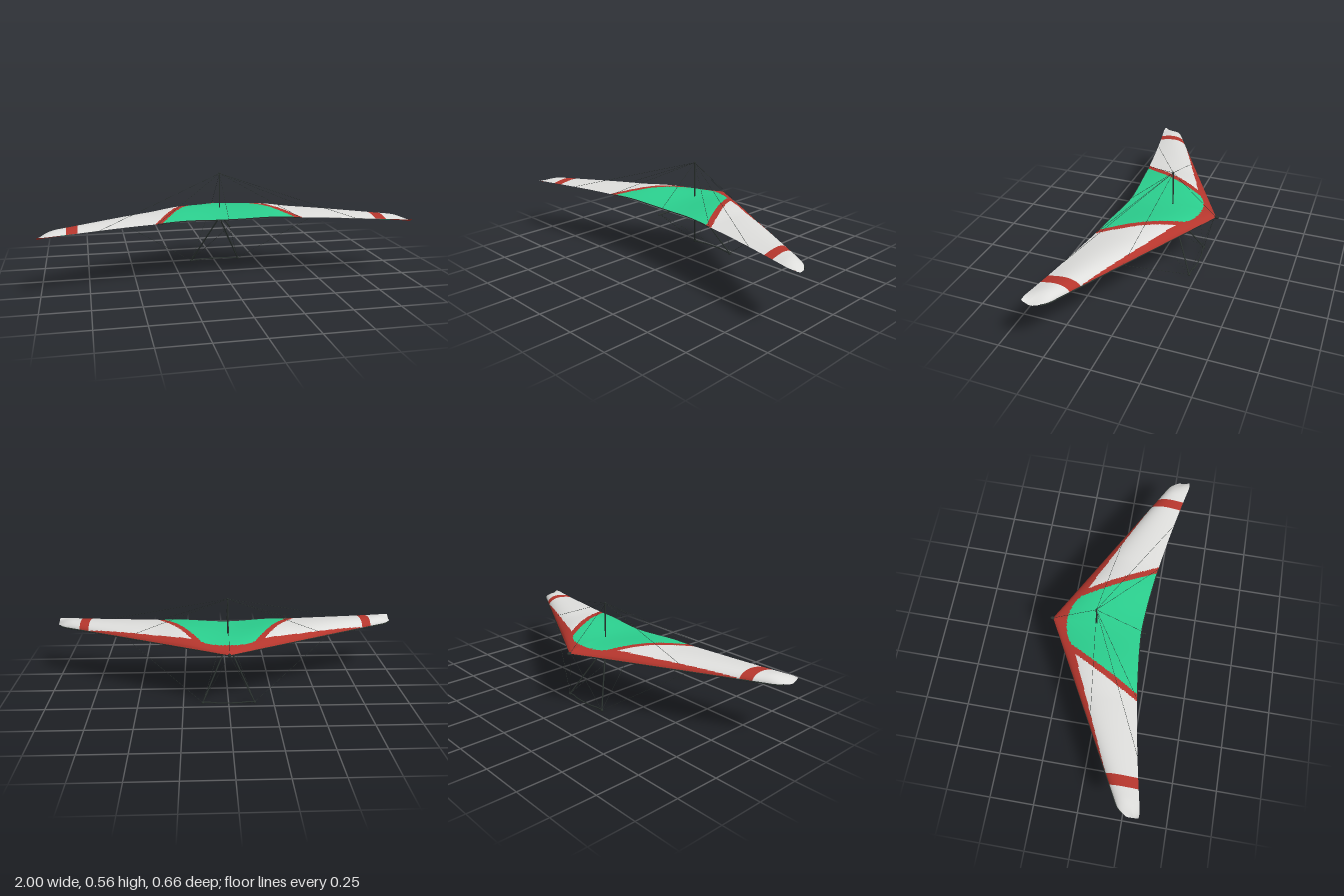
import * as THREE from 'three';

const { lerp, smoothstep } = THREE.MathUtils;
const mat = (name, color) => Object.assign(new THREE.MeshStandardMaterial({ color }), { name });
const white = mat('white sail', 0xdededc);
const red = mat('red trim', 0xb5362d);
const green = mat('green panel', 0x2bcf8e);
const dark = mat('dark frame', 0x29302d);
const WHITE = 0, RED = 1, GREEN = 2;

// Sail outline and section, as functions of span x and chord fraction t
const lead = (x) => -0.315 + 0.55 * x + 14 * Math.max(0, x - 0.95) ** 2;
const trail = (x) => 0.19 + 0.15 * x ** 1.5 - 4 * Math.max(0, x - 0.95) ** 2;
const leadY = (x) => 0.328 - 0.011 * x;
const camber = (x) => 0.035 + 0.018 * smoothstep(x, 0, 0.27)
  - 0.008 * smoothstep(x, 0.26, 0.42) - 0.015 * smoothstep(x, 0.42, 1.05);
const crown = (x, t) => leadY(x) + camber(x) * Math.sin(0.8 * Math.PI * t ** 0.6);

// The lower cloth stops short of the trailing edge in the middle of the wing
const clothEnd = (x) => 0.8 + 0.9 * x * x;
const bottomY = (x, t) => {
  const belly = 0.003 + 0.025 * Math.max(0, 1 - x / 0.45);
  const y = leadY(x) - belly * Math.sin(Math.PI * Math.min(1, t / 0.62))
    + (crown(x, 1) - leadY(x)) * t ** 3;
  const end = clothEnd(x);
  return lerp(y, crown(x, t) - 0.0015, smoothstep(t, end - 0.12, end));
};
// The upper cloth curls down onto the lower one at the tips
const topY = (x, t) => lerp(crown(x, t), bottomY(x, t), (Math.max(0, x - 0.9) / 0.1) ** 2);

// Colour layout of the upper cloth
function topColour(a, z) {
  const edge = 0.14 + (z + 0.19) * 0.54;
  if (a < edge && z > -0.232 + 2.4 * a * a) return GREEN;
  if (a < edge + 0.036) return RED;
  if (z < lead(a) + 0.075 * (1 - a / 0.8)) return RED;
  return a > 0.802 && a < 0.858 ? RED : WHITE;
}

// Colour layout of the lower cloth, with two slanted bands under each wing
function bottomColour(a, z, t) {
  if (a > 0.88) return RED;
  if (t > clothEnd(a) - 0.04) return topColour(a, z);
  const inner = Math.abs(a - (0.41 + 0.88 * z)) < 0.033 && t > 0.1 && t < 0.9;
  const outer = Math.abs(a - (0.59 + 0.9 * z)) < 0.021 && t > 0.12 && t < 0.97;
  return inner || outer ? GREEN : WHITE;
}

// One sail surface: a smooth grid whose cells are grouped by colour
function sail(name, height, colour, up) {
  const NX = 320, NT = 72, pos = [], buckets = [[], [], []];
  const zAt = (a, t) => lerp(lead(a), trail(a), t);
  for (let i = 0; i <= NX; i++) {
    const x = -1 + (2 * i) / NX, a = Math.abs(x);
    for (let j = 0; j <= NT; j++) pos.push(x, height(a, j / NT), zAt(a, j / NT));
  }
  for (let i = 0; i < NX; i++) {
    for (let j = 0; j < NT; j++) {
      const span = Math.abs(-1 + (2 * i + 1) / NX), t = (j + 0.5) / NT;
      const a = i * (NT + 1) + j, b = a + NT + 1, c = a + 1, d = b + 1;
      buckets[colour(span, zAt(span, t), t)].push(...(up ? [a, c, b, b, c, d] : [a, b, c, b, d, c]));
    }
  }
  const g = new THREE.BufferGeometry();
  g.setAttribute('position', new THREE.Float32BufferAttribute(pos, 3));
  g.setIndex(buckets.flat());
  let start = 0;
  buckets.forEach((list, k) => { g.addGroup(start, list.length, k); start += list.length; });
  g.computeVertexNormals();
  const m = new THREE.Mesh(g, [white, red, green]);
  m.name = name;
  return m;
}

export function createModel() {
  const model = new THREE.Group();
  model.name = 'hangGlider';
  const add = (name, geometry, material = dark) => {
    const m = new THREE.Mesh(geometry, material);
    m.name = name;
    model.add(m);
    return m;
  };
  // Straight round bar between two points
  const bar = (name, p, q, r, sides = 12, material = dark) => {
    const a = new THREE.Vector3(...p), b = new THREE.Vector3(...q);
    const m = add(name, new THREE.CylinderGeometry(r, r, a.distanceTo(b), sides), material);
    m.position.copy(a).lerp(b, 0.5);
    m.quaternion.setFromUnitVectors(new THREE.Vector3(0, 1, 0), b.sub(a).normalize());
  };
  const ball = (name, p, r, stretch = 1) => {
    const m = add(name, new THREE.SphereGeometry(r, 16, 12));
    m.position.set(...p);
    m.scale.z = stretch;
  };
  const wire = (name, p, q) => bar(name, p, q, 0.0009, 5);
  const tube = (name, points, r) =>
    add(name, new THREE.TubeGeometry(new THREE.CatmullRomCurve3(points), 40, r, 8));

  model.add(sail('sailTop', topY, topColour, true));
  model.add(sail('sailUnderside', bottomY, bottomColour, false));

  // Cord along the middle of the trailing edge
  const cord = [-0.39, -0.3, -0.2, -0.1, 0, 0.1, 0.2, 0.3, 0.39].map((x) => {
    const a = Math.abs(x);
    return new THREE.Vector3(x, crown(a, 1) - 0.001, trail(a));
  });
  tube('trailingEdgeCord', cord, 0.0028);

  // Keel, nose and kingpost
  const mast = [0, 0.56, -0.063], apex = [0, 0.305, -0.063];
  bar('keel', [0, 0.327, -0.32], [0, 0.317, 0.21], 0.004);
  ball('noseCap', [0, 0.328, -0.317], 0.009, 1.6);
  ball('keelEnd', [0, 0.317, 0.212], 0.005);
  bar('kingpost', apex, mast, 0.004);
  ball('kingpostCap', mast, 0.006);
  ball('frameApex', apex, 0.006);
  bar('hangStrap', [0, 0.325, -0.056], [0, 0.3, -0.056], 0.003, 8, red);

  // Upper wires on the centre line
  wire('upperNoseWire', mast, [0, 0.33, -0.312]);
  wire('upperTailWire', mast, [0, crown(0, 1), 0.188]);

  for (const s of [1, -1]) {
    const side = s > 0 ? 'left' : 'right';
    const corner = [s * 0.143, 0.01, -0.212];
    // Leading edge spar, set into the sail near the nose and bare towards the tip
    const spar = [0.02, 0.2, 0.4, 0.6, 0.75, 0.9, 0.955, 0.982].map((x) =>
      new THREE.Vector3(s * x, leadY(x) - 0.002, lead(x) + 0.005 * (1 - x) - 0.001));
    tube(side + 'LeadingEdgeSpar', spar, 0.0038);
    ball(side + 'SparEnd', spar[7].toArray(), 0.005);
    // Control frame upright
    bar(side + 'Upright', apex, corner, 0.004);
    ball(side + 'FrameCorner', corner, 0.008);
    // Rigging
    wire(side + 'UpperSideWire', mast, [s * 0.57, 0.325, lead(0.57) + 0.001]);
    for (const x of [0.39, 0.69]) {
      wire(side + 'UpperRearWire', mast, [s * x, crown(x, 1), trail(x)]);
    }
    wire(side + 'LowerNoseWire', corner, [0, 0.325, -0.305]);
    wire(side + 'LowerTailWire', corner, [0, 0.315, 0.2]);
    wire(side + 'LowerSideWire', corner, [s * 0.58, 0.322, lead(0.58) + 0.005]);
  }

  // Curved base bar
  const base = [[-0.143, -0.212], [-0.1, -0.214], [-0.06, -0.223], [0.06, -0.223], [0.1, -0.214], [0.143, -0.212]]
    .map(([x, z]) => new THREE.Vector3(x, 0.012, z));
  tube('baseBar', base, 0.0038);

  return model;
}
